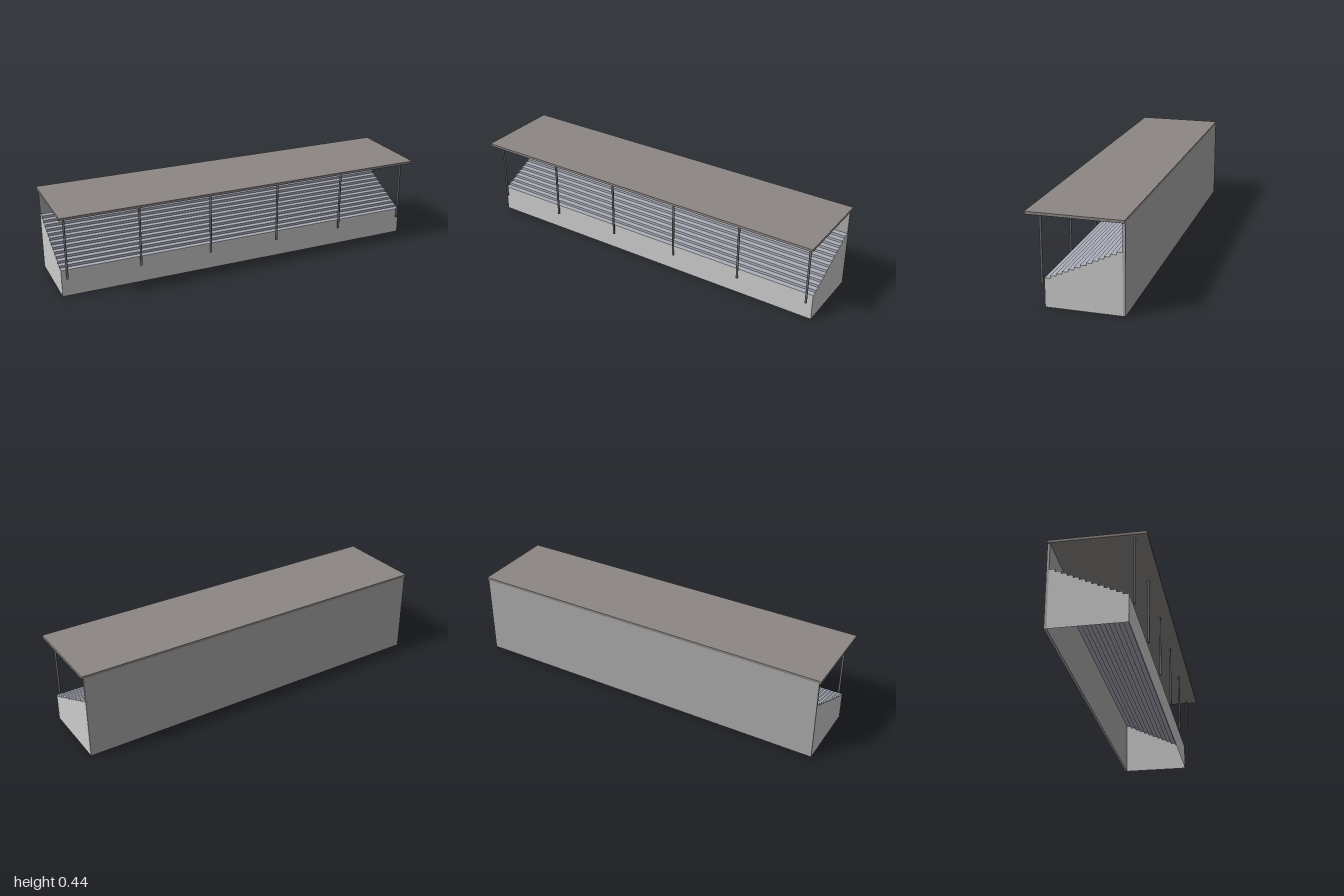
import * as THREE from 'three';

// Local frame: +x towards the pitch, z along the stand; the whole is turned at the end.
const HALF = 0.963;               // half length of the stand
const FRONT = 0.146, BACK = -0.2155;
const STEPS = 13, BASE_Y = 0.14, TOP_Y = 0.297;
const RUN = (FRONT - BACK) / STEPS, RISE = (TOP_Y - BASE_Y) / (STEPS - 1);

const paint = (color) => new THREE.MeshStandardMaterial({ color, side: THREE.DoubleSide });

function addMesh(parent, name, geometry, material, x = 0, y = 0, z = 0) {
  const mesh = new THREE.Mesh(geometry, material);
  mesh.name = name;
  mesh.position.set(x, y, z);
  parent.add(mesh);
  return mesh;
}

// Stepped outline of the terrace, from the front top edge to the back wall
function stairProfile() {
  const pts = [];
  for (let i = 0; i < STEPS; i++) {
    const y = BASE_Y + i * RISE;
    pts.push([FRONT - i * RUN, y], [FRONT - (i + 1) * RUN, y]);
  }
  return pts;
}

// Open sheet swept along z from a list of (x, y) points
function sweptSheet(points) {
  const pos = [];
  for (let i = 0; i < points.length - 1; i++) {
    const [ax, ay] = points[i], [bx, by] = points[i + 1];
    pos.push(ax, ay, HALF, ax, ay, -HALF, bx, by, -HALF);
    pos.push(ax, ay, HALF, bx, by, -HALF, bx, by, HALF);
  }
  const geo = new THREE.BufferGeometry();
  geo.setAttribute('position', new THREE.Float32BufferAttribute(pos, 3));
  geo.computeVertexNormals();
  return geo;
}

export function createModel() {
  const model = new THREE.Group();
  model.name = 'grandstand';
  const building = new THREE.Group();
  building.name = 'building';
  building.rotation.y = THREE.MathUtils.degToRad(-12);
  model.add(building);

  const concrete = paint(0xcccccc);
  const seating = paint(0xadafbb);
  const wallPaint = paint(0xa8a8a8);
  const roofPaint = paint(0x8c8784);
  const steel = paint(0x77777a);

  // Terrace: hollow, open underneath
  const stairs = stairProfile();
  addMesh(building, 'terraceSteps', sweptSheet(stairs), seating);
  addMesh(building, 'frontPanel', sweptSheet([[FRONT, 0], [FRONT, BASE_Y]]), concrete);

  // Stepped end walls
  const outline = [[BACK, 0], [FRONT, 0], ...stairs].map(([x, y]) => new THREE.Vector2(x, y));
  for (const side of [1, -1]) {
    const end = addMesh(building, 'endWall', new THREE.ShapeGeometry(new THREE.Shape(outline)), concrete, 0, 0, side * HALF);
    end.scale.z = side;
  }

  // Back wall and flat roof
  addMesh(building, 'backWall', new THREE.BoxGeometry(0.012, 0.432, HALF * 2), wallPaint, BACK - 0.006, 0.216, 0);
  addMesh(building, 'roof', new THREE.BoxGeometry(0.455, 0.013, 1.944), roofPaint, 0, 0.4385, 0);

  // Row of roof posts along the front
  const postGeo = new THREE.CylinderGeometry(0.0055, 0.0055, 0.332, 12);
  for (let i = 0; i < 6; i++) {
    addMesh(building, 'roofPost', postGeo, steel, 0.167, 0.266, 0.938 - i * 0.3752);
  }
  return model;
}
